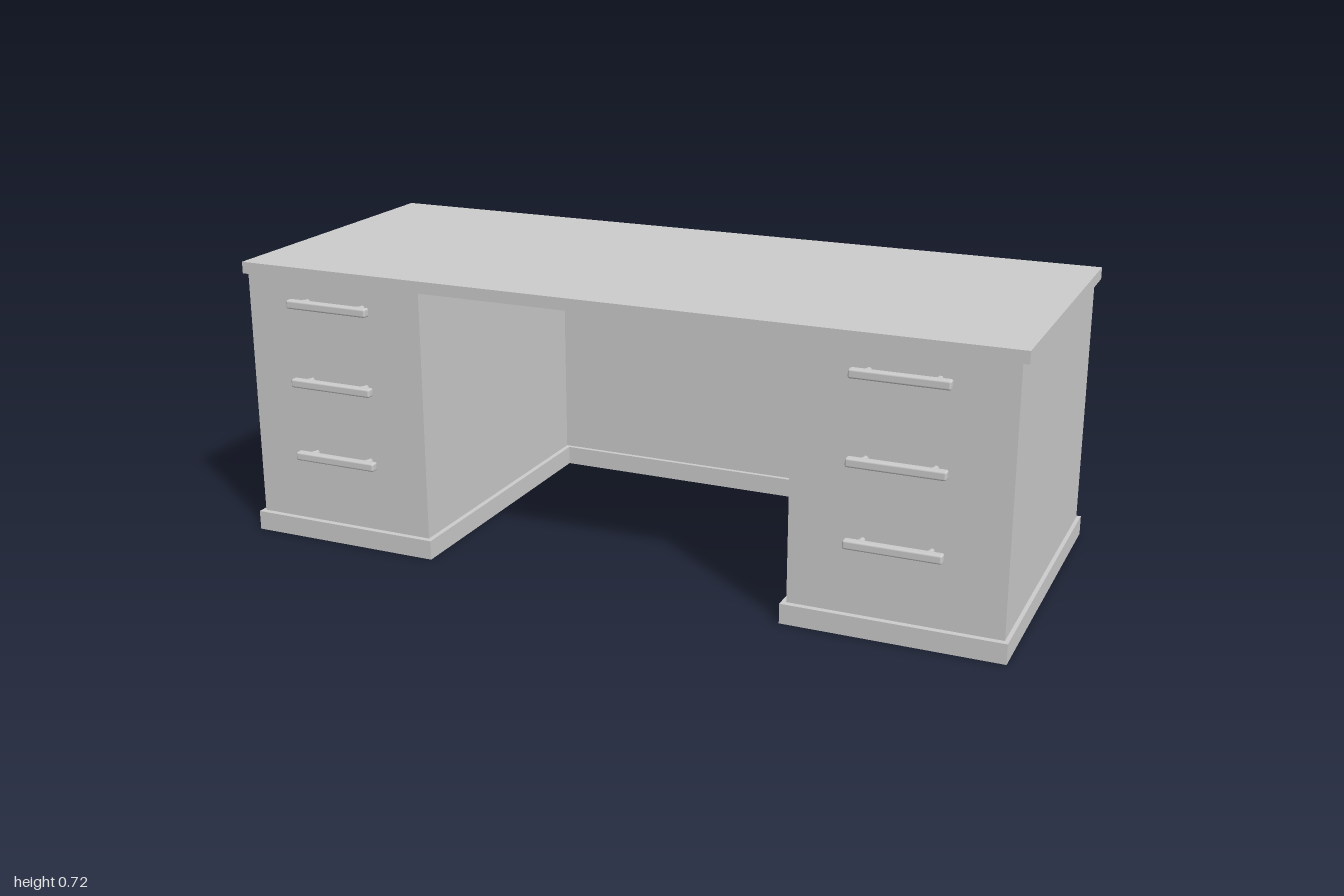
import * as THREE from 'three';
import { RoundedBoxGeometry } from 'three/addons/geometries/RoundedBoxGeometry.js';

const material = new THREE.MeshStandardMaterial({ color: 0xcccccc });

function part(name, geometry, x = 0, y = 0, z = 0) {
  const mesh = new THREE.Mesh(geometry, material);
  mesh.name = name;
  mesh.position.set(x, y, z);
  return mesh;
}

// Points are [x, z]; shape y is -z so the extrusion can be stood upright.
// Reversed to run anticlockwise, which makes the holes face inwards.
const flat = (points) => points.map(([x, z]) => new THREE.Vector2(x, -z)).reverse();
const rect = (x0, x1, z0, z1) => [[x0, z0], [x1, z0], [x1, z1], [x0, z1]];

// U-shaped ring: two pedestals joined by a back strip, hollow inside the pedestals.
function uRing({ side, front, back, kneeL, kneeR, kneeBack, wall, height }) {
  const shape = new THREE.Shape(flat([
    [-side, back], [side, back], [side, front], [kneeR, front],
    [kneeR, kneeBack], [kneeL, kneeBack], [kneeL, front], [-side, front],
  ]));
  for (const [x0, x1] of [[-side, kneeL], [kneeR, side]]) {
    shape.holes.push(new THREE.Path(
      flat(rect(x0 + wall, x1 - wall, back + wall, front - wall))));
  }
  const geometry = new THREE.ExtrudeGeometry(shape, { depth: height, bevelEnabled: false });
  return geometry.rotateX(-Math.PI / 2);
}

// Bar pull on two posts, each with a collar behind the bar.
function makeHandle(x, y) {
  const handle = new THREE.Group();
  handle.name = 'drawerHandle';
  handle.position.set(x, y, 0);
  handle.add(part('handleBar', new RoundedBoxGeometry(0.23, 0.022, 0.022, 3, 0.005), 0, 0, 0.419));
  const profile = [[0, 0.374], [0.007, 0.374], [0.007, 0.396], [0.009, 0.4], [0.009, 0.412]]
    .map(([r, h]) => new THREE.Vector2(r, h));
  for (const s of [-1, 1]) {
    const post = new THREE.LatheGeometry(profile, 16).rotateX(Math.PI / 2);
    handle.add(part('handlePost', post, s * 0.08, 0, 0));
  }
  return handle;
}

export function createModel() {
  const desk = new THREE.Group();
  desk.name = 'desk';

  // Plinth, projecting slightly all round
  desk.add(part('plinth', uRing({
    side: 0.995, front: 0.40, back: -0.43,
    kneeL: -0.475, kneeR: 0.46, kneeBack: -0.38, wall: 0.03, height: 0.05,
  })));

  // Thin-walled pedestals and back panel
  desk.add(part('pedestalsAndBackPanel', uRing({
    side: 0.985, front: 0.385, back: -0.42,
    kneeL: -0.488, kneeR: 0.472, kneeBack: -0.392, wall: 0.008, height: 0.64,
  }), 0, 0.05, 0));

  // Worktop
  desk.add(part('worktop', new THREE.BoxGeometry(2, 0.03, 0.81), 0, 0.705, -0.017));

  // Three drawer handles on each pedestal
  for (const x of [-0.73, 0.73]) {
    for (const y of [0.235, 0.43, 0.635]) desk.add(makeHandle(x, y));
  }
  return desk;
}
